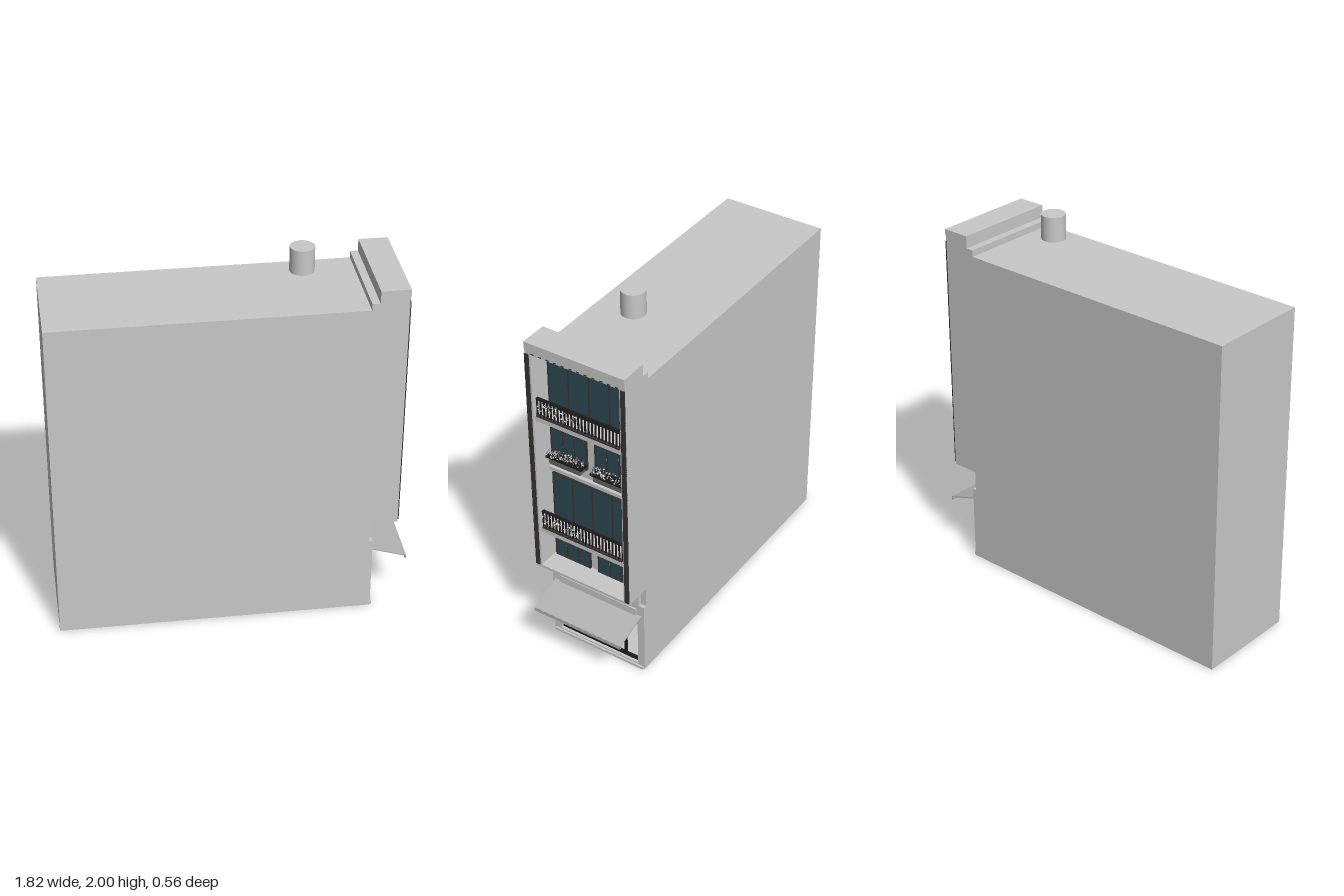
import * as THREE from 'three';
import { mergeGeometries } from 'three/addons/utils/BufferGeometryUtils.js';

const mat = (name, color, side = THREE.FrontSide) => {
  const m = new THREE.MeshStandardMaterial({ color, side });
  m.name = name;
  return m;
};

export function createModel() {
  const wall = mat('wall', 0xc8c8c8);
  const trim = mat('darkTrim', 0x383334);
  const metal = mat('blackMetal', 0x1c1a1b);
  const glass = mat('tealGlass', 0x2b4852);
  const panel = mat('greyPanel', 0x626664);
  const awning = mat('awning', 0xb2b2b2, THREE.DoubleSide);
  const leaf = mat('leaf', 0x48524a);
  const petal = mat('petal', 0xc9c6c6);

  const root = new THREE.Group();
  root.name = 'townhouse';

  const add = (parent, name, geometry, material) => {
    const mesh = new THREE.Mesh(geometry, material);
    mesh.name = name;
    parent.add(mesh);
    return mesh;
  };
  // Box given by its limits on each axis
  const boxGeo = (x0, x1, y0, y1, z0, z1) =>
    new THREE.BoxGeometry(x1 - x0, y1 - y0, z1 - z0)
      .translate((x0 + x1) / 2, (y0 + y1) / 2, (z0 + z1) / 2);
  const box = (parent, name, material, ...b) => add(parent, name, boxGeo(...b), material);
  const group = (name) => {
    const g = new THREE.Group();
    g.name = name;
    root.add(g);
    return g;
  };
  // Side profile in x and y, extruded across z
  const slab = (name, points, z0, z1) => {
    const shape = new THREE.Shape(points.map(([x, y]) => new THREE.Vector2(x, y)));
    const geo = new THREE.ExtrudeGeometry(shape, { depth: z1 - z0, bevelEnabled: false });
    return add(root, name, geo.translate(0, 0, z0), wall);
  };

  // Party walls and the core between them, which holds the shop and the recess
  const roofLine = [[0.85, 1.875], [0.705, 1.875], [0.705, 1.81], [0.665, 1.81], [0.665, 1.775], [-0.91, 1.775]];
  const sideProfile = [[-0.91, 0], [0.725, 0], [0.725, 0.415], [0.705, 0.415], [0.705, 0.525], [0.85, 0.525], ...roofLine];
  slab('partyWallLeft', sideProfile, 0.248, 0.28);
  slab('partyWallRight', sideProfile, -0.28, -0.248);
  slab('core', [
    [-0.91, 0], [0.725, 0], [0.725, 0.022], [0.45, 0.022], [0.45, 0.335], [0.725, 0.335],
    [0.725, 0.525], [0.85, 0.525], [0.85, 0.54], [0.73, 0.54], [0.73, 1.81], [0.85, 1.81], ...roofLine,
  ], -0.248, 0.248);
  box(root, 'doorstep', wall, 0.72, 0.735, 0, 0.014, -0.275, 0.275);
  box(root, 'parapetBand', wall, 0.845, 0.854, 1.835, 1.875, -0.28, 0.28);
  for (const s of [-1, 1]) {
    const z = [s * 0.256, s * 0.28].sort((a, b) => a - b);
    box(root, 'edgeStrip', trim, 0.848, 0.855, 0.54, 1.81, ...z);
    const j = [s * 0.24, s * 0.249].sort((a, b) => a - b);
    box(root, 'shopJamb', wall, 0.6, 0.725, 0.022, 0.335, ...j);
  }
  for (let i = 0; i < 12; i++) {
    const z = -0.235 + i * 0.0427;
    box(root, 'parapetSlot', trim, 0.848, 0.852, 1.813, 1.818, z - 0.008, z + 0.008);
  }

  // Roof tank
  add(root, 'roofTank', new THREE.CylinderGeometry(0.062, 0.062, 0.13, 32).translate(0.37, 1.935, 0), wall);

  // Shop front
  const shop = group('shopFront');
  for (const z of [-0.237, -0.15, -0.055, 0.035, 0.237]) {
    box(shop, 'doorPost', metal, 0.69, 0.71, 0.022, 0.335, z - 0.003, z + 0.003);
  }
  for (const [y0, y1] of [[0.022, 0.032], [0.276, 0.284], [0.328, 0.335]]) {
    box(shop, 'doorRail', metal, 0.69, 0.71, y0, y1, -0.24, 0.24);
  }
  box(shop, 'doorHandle', metal, 0.71, 0.718, 0.085, 0.155, -0.063, -0.05);
  box(shop, 'signBoard', wall, 0.72, 0.733, 0.345, 0.39, -0.235, 0.235);

  // Sloping awning with a short hem
  const canopy = group('awning');
  const sheet = box(canopy, 'awningSheet', awning, 0, 0.196, -0.006, 0, -0.262, 0.262);
  sheet.position.set(0.725, 0.352, 0);
  sheet.rotation.z = -Math.atan2(0.06, 0.185);
  box(canopy, 'awningHem', awning, 0.905, 0.911, 0.272, 0.293, -0.262, 0.262);

  // Window set on the facade, with posts at given z positions
  const makeWindow = (name, y0, y1, z0, z1, panes, transom) => {
    const g = group(name);
    const top = y1 - transom;
    box(g, 'pane', glass, 0.729, 0.735, y0, top, z0, z1);
    if (transom) box(g, 'transom', panel, 0.729, 0.738, top, y1, z0, z1);
    for (const y of transom ? [y0, top, y1] : [y0, y1]) {
      box(g, 'frameRail', trim, 0.729, 0.742, y - 0.003, y + 0.003, z0, z1);
    }
    for (let i = 0; i <= panes; i++) {
      const z = z0 + (z1 - z0) * i / panes;
      box(g, 'framePost', trim, 0.729, 0.742, y0, y1, z - 0.003, z + 0.003);
      if (transom && i > 0 && i < panes) {
        box(g, 'curtainGap', wall, 0.729, 0.737, y0 + 0.01, top - 0.008, z + 0.003, z + 0.007);
      }
    }
  };
  const bays = [[0.03, 0.235], [-0.23, -0.022]];
  for (const [z0, z1] of bays) {
    makeWindow('lowerWindow', 0.54, 0.7, z0, z1, 3, 0.035);
    makeWindow('middleWindow', 1.16, 1.375, z0, z1, 3, 0.04);
  }
  makeWindow('lowerBalconyDoors', 0.78, 1.06, -0.23, 0.235, 4, 0);
  makeWindow('upperBalconyDoors', 1.46, 1.735, -0.23, 0.235, 4, 0);

  // Facade mouldings
  for (const [y0, y1, x] of [[1.08, 1.1, 0.75], [1.77, 1.81, 0.75]]) {
    box(root, 'moulding', wall, 0.73, x, y0, y1, -0.248, 0.248);
  }

  // Planting: small tufts scattered by a seeded rule
  let seed = 7;
  const rand = () => (seed = (seed * 16807) % 2147483647) / 2147483647;
  const plants = (x, y0, y1, z0, z1, count) => {
    const g = group('flowers');
    for (const [name, material, share] of [['leaves', leaf, 0.5], ['petals', petal, 0.5]]) {
      const parts = [];
      for (let i = 0; i < count * share; i++) {
        const r = 0.003 + rand() * 0.003;
        parts.push(new THREE.OctahedronGeometry(r).translate(
          x + (rand() - 0.5) * 0.04, y0 + rand() * (y1 - y0), z0 + rand() * (z1 - z0)));
      }
      add(g, name, mergeGeometries(parts), material);
    }
  };

  // Balconies with stepped slab, railing and flowers
  for (const y of [0.775, 1.455]) {
    const g = group('balcony');
    box(g, 'balconySlab', wall, 0.73, 0.838, y - 0.027, y, -0.248, 0.248);
    box(g, 'slabStep', wall, 0.73, 0.79, y - 0.06, y - 0.027, -0.248, 0.248);
    box(g, 'slabEdge', trim, 0.822, 0.84, y, y + 0.008, -0.235, 0.24);
    box(g, 'handrail', metal, 0.822, 0.838, y + 0.1, y + 0.106, -0.235, 0.24);
    const bars = [];
    for (let z = -0.233; z < 0.24; z += 0.0196) {
      bars.push(boxGeo(0.824, 0.836, y, y + 0.1, z - 0.0015, z + 0.0015));
    }
    add(g, 'balusters', mergeGeometries(bars), metal);
    plants(0.83, y + 0.035, y + 0.085, 0.005, 0.235, 110);
  }

  // Window boxes
  for (const [z0, z1] of bays) {
    const g = group('windowBox');
    box(g, 'planter', panel, 0.73, 0.78, 1.145, 1.18, z0 + 0.012, z1 - 0.012);
    box(g, 'planterRim', metal, 0.73, 0.787, 1.18, 1.189, z0 - 0.003, z1 + 0.003);
    plants(0.768, 1.187, 1.222, z0, z1, 120);
  }
  return root;
}
